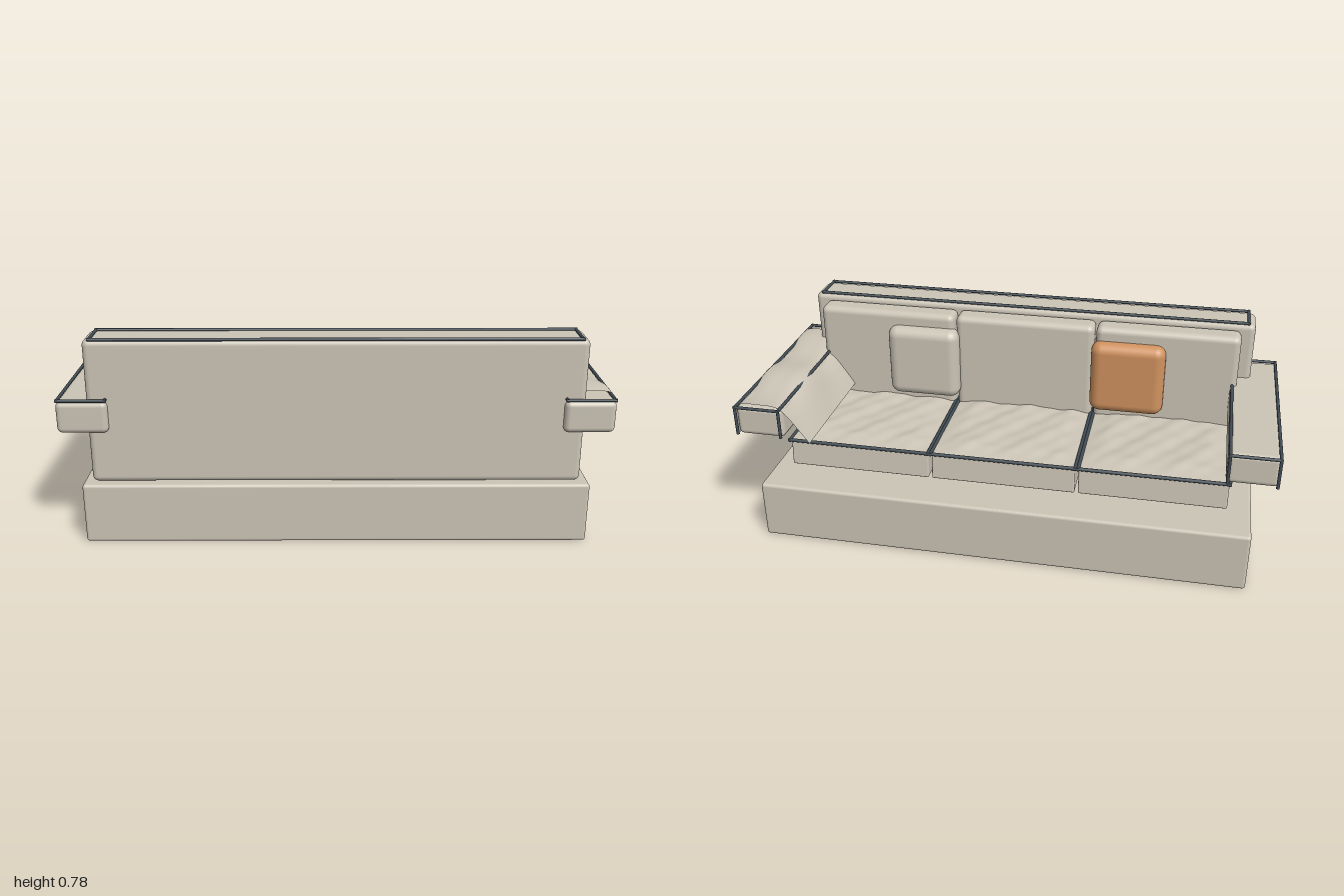
import * as THREE from 'three';
import { RoundedBoxGeometry } from 'three/addons/geometries/RoundedBoxGeometry.js';

const mat = (name, color, side = THREE.FrontSide) => {
  const m = new THREE.MeshStandardMaterial({ color, side });
  m.name = name;
  return m;
};

export function createModel() {
  const root = new THREE.Group();
  root.name = 'sofa';
  const linen = mat('linen', 0xcbc4b6, THREE.DoubleSide);
  const pipingMat = mat('piping', 0x414c53);
  const accent = mat('terracotta', 0xd0925f);

  const add = (name, geo, material, parent = root) => {
    const m = new THREE.Mesh(geo, material);
    m.name = name;
    parent.add(m);
    return m;
  };

  // Soft box given by its limits on each axis
  const softBox = (name, [x0, x1], [y0, y1], [z0, z1], r, material = linen) => {
    const m = add(name, new RoundedBoxGeometry(x1 - x0, y1 - y0, z1 - z0, 4, r), material);
    m.position.set((x0 + x1) / 2, (y0 + y1) / 2, (z0 + z1) / 2);
    return m;
  };

  // Round cord along a list of points
  const cord = (name, points, r, closed = false) => {
    const g = new THREE.Group();
    g.name = name;
    root.add(g);
    const n = closed ? points.length : points.length - 1;
    for (let i = 0; i < n; i++) {
      const a = new THREE.Vector3(...points[i]);
      const b = new THREE.Vector3(...points[(i + 1) % points.length]);
      const dir = b.clone().sub(a);
      const seg = add('cord', new THREE.CylinderGeometry(r, r, dir.length() + r * 1.6, 10), pipingMat, g);
      seg.position.copy(a).add(b).multiplyScalar(0.5);
      seg.quaternion.setFromUnitVectors(new THREE.Vector3(0, 1, 0), dir.normalize());
    }
  };
  const loop = (name, x0, x1, y, z0, z1, r) =>
    cord(name, [[x0, y, z0], [x1, y, z0], [x1, y, z1], [x0, y, z1]], r, true);

  // Plinth
  softBox('base', [-0.926, 0.926], [0.004, 0.233], [-0.4, 0.4], 0.012);

  // Backrest, leaning very slightly
  const back = softBox('backrest', [-0.89, 0.89], [0.238, 0.775], [0.238, 0.38], 0.022);
  const bp = back.geometry.attributes.position;
  for (let i = 0; i < bp.count; i++) bp.setZ(i, bp.getZ(i) - bp.getY(i) * 0.01);
  loop('backrestPiping', -0.862, 0.862, 0.777, 0.25, 0.374, 0.006);

  // Arms with piping around the top and down the end
  for (const s of [-1, 1]) {
    softBox('arm', [s * 0.905 - 0.092, s * 0.905 + 0.092], [0.434, 0.552], [-0.375, 0.4], 0.02);
    const a = s * 0.905 - 0.085, b = s * 0.905 + 0.085;
    loop('armPiping', a, b, 0.557, -0.393, 0.393, 0.006);
    for (const x of [a, b]) cord('armEndPiping', [[x, 0.45, -0.393], [x, 0.552, -0.393]], 0.006);
  }

  // Seat, back cushions and piping
  const crease = (x, z) => 0.003 * (Math.sin(31 * x + 17 * z) + 0.7 * Math.sin(47 * z - 23 * x)
    + 0.5 * Math.sin(71 * x + 53 * z + 1));
  for (let k = -1; k <= 1; k++) {
    const cx = k * 0.561;
    const seat = softBox('seatCushion', [cx - 0.274, cx + 0.274], [0.267, 0.373], [-0.282, 0.24], 0.006);
    const sp = seat.geometry.attributes.position;
    for (let i = 0; i < sp.count; i++) {
      if (sp.getZ(i) < 0) sp.setZ(i, sp.getZ(i) + (sp.getY(i) + 0.053) * 0.09);
    }
    seat.geometry.computeVertexNormals();

    // Crumpled, slightly domed seat top
    const top = new THREE.PlaneGeometry(0.55, 0.525, 40, 40).rotateX(-Math.PI / 2);
    const tp = top.attributes.position;
    for (let i = 0; i < tp.count; i++) {
      const x = tp.getX(i), z = tp.getZ(i);
      const edge = Math.min(1, (0.275 - Math.abs(x)) / 0.08) * Math.min(1, (0.2625 - Math.abs(z)) / 0.08);
      tp.setY(i, Math.max(0, edge) * (0.013 + crease(x + cx, z)));
    }
    top.computeVertexNormals();
    add('seatTop', top, linen).position.set(cx, 0.376, -0.021);
    loop('seatPiping', cx - 0.275, cx + 0.275, 0.375, -0.284, 0.235, 0.007);

    softBox('backCushion', [cx - 0.277, cx + 0.277], [0.358, 0.755], [0.146, 0.242], 0.025);
  }

  // Loose pillows
  softBox('accentPillow', [-0.56, -0.27], [0.41, 0.702], [0.1, 0.19], 0.04, accent);
  softBox('plainPillow', [0.262, 0.552], [0.41, 0.702], [0.1, 0.19], 0.04);

  // Rippled throw draped over one arm
  const profile = new THREE.CatmullRomCurve3([
    [0.997, 0.432], [0.999, 0.5], [0.993, 0.553], [0.96, 0.564], [0.9, 0.567],
    [0.835, 0.563], [0.795, 0.53], [0.755, 0.475], [0.718, 0.42],
  ].map(([x, y]) => new THREE.Vector3(x, y, 0)));
  const cloth = new THREE.PlaneGeometry(1, 1, 32, 48);
  const cp = cloth.attributes.position;
  for (let i = 0; i < cp.count; i++) {
    const u = cp.getX(i) + 0.5;
    const z = -0.02 + cp.getY(i) * 0.7;
    const p = profile.getPoint(u);
    const fade = Math.min(1, (1 - u) / 0.25);
    const ripple = 0.011 * fade * Math.cos((z - 0.27) * Math.PI * 2 / 0.37 + u * 1.5 - 0.6);
    cp.setXYZ(i, Math.min(p.x, 0.998), p.y + ripple, z);
  }
  cloth.computeVertexNormals();
  add('throwBlanket', cloth, linen);

  return root;
}
